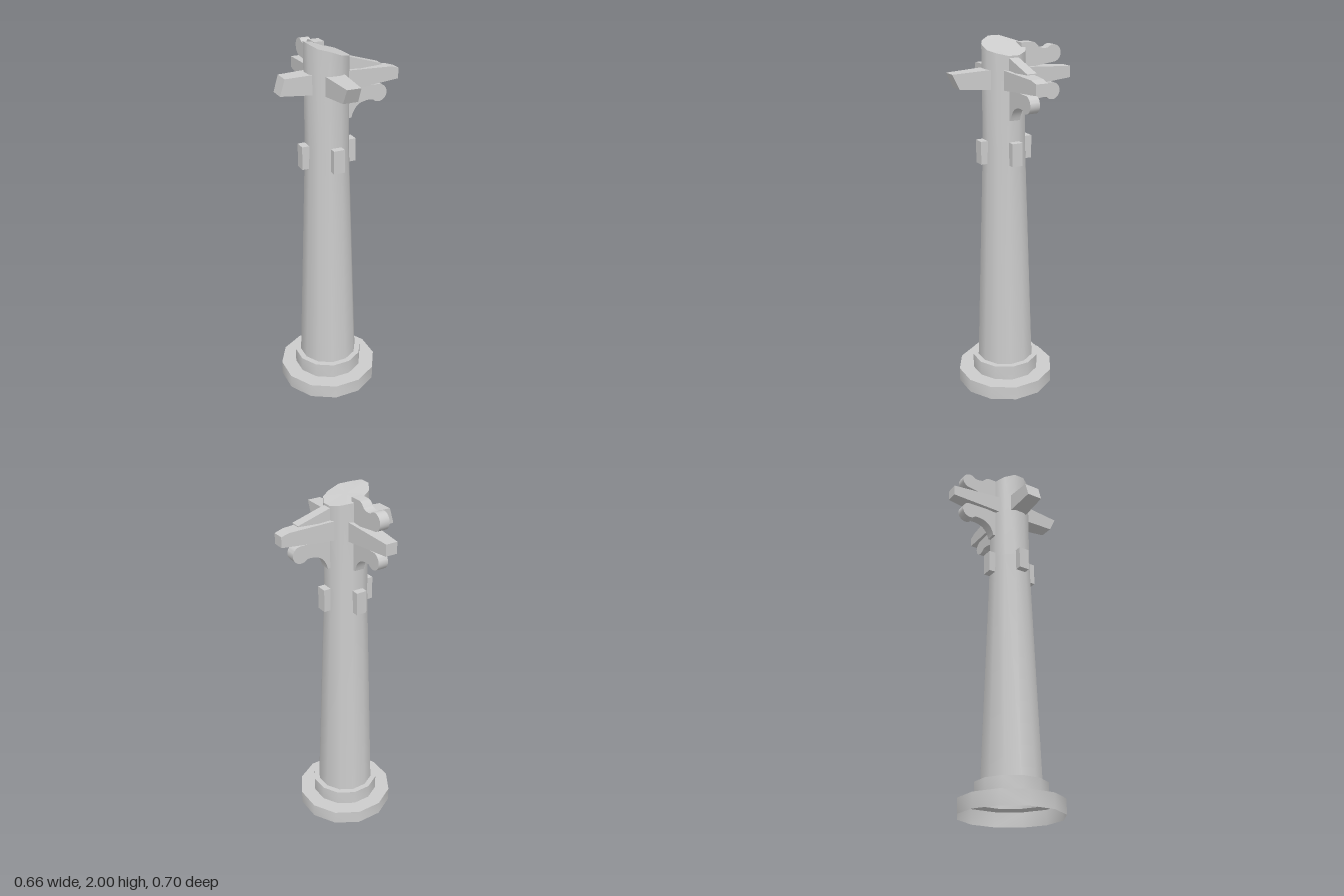
import * as THREE from 'three';
import { toCreasedNormals } from 'three/addons/utils/BufferGeometryUtils.js';

const material = new THREE.MeshStandardMaterial({ color: 0xcccccc, side: THREE.DoubleSide });

function addMesh(parent, name, geometry) {
  const mesh = new THREE.Mesh(geometry, material);
  mesh.name = name;
  parent.add(mesh);
  return mesh;
}

// Upright profile (distance from axis, height) extruded to a centred slab
function slab(shape, width) {
  const g = new THREE.ExtrudeGeometry(shape, { depth: width, bevelEnabled: false, curveSegments: 10 });
  g.translate(0, 0, -width / 2);
  return toCreasedNormals(g, 0.6);
}

const polygon = (points) => new THREE.Shape(points.map(([x, y]) => new THREE.Vector2(x, y)));

// Beam whose width narrows linearly from the shaft to the tip
function beamGeometry(profile, tipDistance, tipHalfWidth) {
  const g = slab(polygon(profile), 2);
  const p = g.attributes.position;
  for (let i = 0; i < p.count; i++) {
    const t = (p.getX(i) - 0.1) / (tipDistance - 0.1);
    p.setZ(i, p.getZ(i) * THREE.MathUtils.lerp(0.051, tipHalfWidth, t));
  }
  g.computeVertexNormals();
  return g;
}

// Hollow twelve-sided column with stepped foot and an uneven, broken top
function columnGeometry() {
  const profile = [
    [0.278, 0], [0.278, 0.08], [0.193, 0.08], [0.193, 0.165], [0.162, 0.165],
    [0.1165, 1.45], [0.1165, 2], [0, 2],
  ].map(([r, y]) => new THREE.Vector2(r, y));
  const g = new THREE.LatheGeometry(profile, 12, Math.PI / 12);
  const p = g.attributes.position;
  const brokenEdge = [[-0.113, 2], [-0.082, 1.982], [-0.03, 1.97], [0.03, 1.947], [0.082, 1.935], [0.113, 1.922]];
  for (let i = 0; i < p.count; i++) {
    if (p.getY(i) < 1.9) continue;
    const x = p.getX(i);
    let k = 0;
    while (k < brokenEdge.length - 2 && x > brokenEdge[k + 1][0]) k++;
    const [x0, y0] = brokenEdge[k];
    const [x1, y1] = brokenEdge[k + 1];
    const t = THREE.MathUtils.clamp((x - x0) / (x1 - x0), 0, 1);
    p.setY(i, THREE.MathUtils.lerp(y0, y1, t));
  }
  return toCreasedNormals(g, 0.6);
}

// Curved bracket ending in a round knob, hanging under a beam
function lowerBracketShape() {
  const s = new THREE.Shape();
  s.moveTo(0.09, 1.592);
  s.lineTo(0.127, 1.592);
  s.quadraticCurveTo(0.145, 1.665, 0.205, 1.672);
  s.quadraticCurveTo(0.23, 1.678, 0.25, 1.672);
  s.absarc(0.283, 1.704, 0.046, -Math.PI * 0.75, Math.PI / 2, false);
  s.lineTo(0.09, 1.755);
  s.closePath();
  return s;
}

// Scroll with a round knob, standing on a beam
function upperScrollShape() {
  const s = new THREE.Shape();
  s.moveTo(0.09, 1.835);
  s.lineTo(0.285, 1.859);
  s.absarc(0.285, 1.905, 0.046, -Math.PI / 2, Math.PI * 0.75, false);
  s.quadraticCurveTo(0.22, 1.93, 0.195, 1.945);
  s.quadraticCurveTo(0.175, 1.972, 0.155, 1.972);
  s.lineTo(0.09, 1.972);
  s.closePath();
  return s;
}

export function createModel() {
  const model = new THREE.Group();
  model.name = 'brokenPillar';
  const pillar = new THREE.Group();
  pillar.name = 'pillar';
  pillar.position.set(-0.0625, 0, 0.04);
  model.add(pillar);
  addMesh(pillar, 'column', columnGeometry());

  // One arm per side, each with its own broken or finished tip
  const arms = [
    { name: 'left', angle: 0, tip: 0.392, half: 0.0325, bracket: true, wedge: true,
      profile: [[0.08, 1.746], [0.392, 1.768], [0.392, 1.824], [0.345, 1.837], [0.08, 1.85]] },
    { name: 'back', angle: Math.PI / 2, tip: 0.39, half: 0.0325, bracket: true, scroll: true,
      profile: [[0.08, 1.746], [0.39, 1.769], [0.39, 1.83], [0.08, 1.85]] },
    { name: 'right', angle: Math.PI, tip: 0.268, half: 0.044,
      profile: [[0.08, 1.747], [0.268, 1.762], [0.242, 1.846], [0.08, 1.851]] },
    { name: 'front', angle: -Math.PI / 2, tip: 0.31, half: 0.0375,
      profile: [[0.08, 1.747], [0.272, 1.762], [0.31, 1.84], [0.08, 1.85]] },
  ];
  for (const a of arms) {
    const arm = new THREE.Group();
    arm.name = a.name + 'Arm';
    arm.rotation.y = a.angle;
    pillar.add(arm);
    addMesh(arm, 'beam', beamGeometry(a.profile, a.tip, a.half));
    const block = addMesh(arm, 'wallBlock', new THREE.BoxGeometry(0.06, 0.125, 0.06));
    block.position.set(0.1225, 1.4125, 0);
    if (a.bracket) addMesh(arm, 'lowerBracket', slab(lowerBracketShape(), 0.055));
    if (a.scroll) addMesh(arm, 'upperScroll', slab(upperScrollShape(), 0.055));
    if (a.wedge) {
      addMesh(arm, 'upperWedge', slab(polygon([[0.09, 1.84], [0.295, 1.852], [0.295, 1.857], [0.09, 1.918]]), 0.055));
    }
  }
  return model;
}
